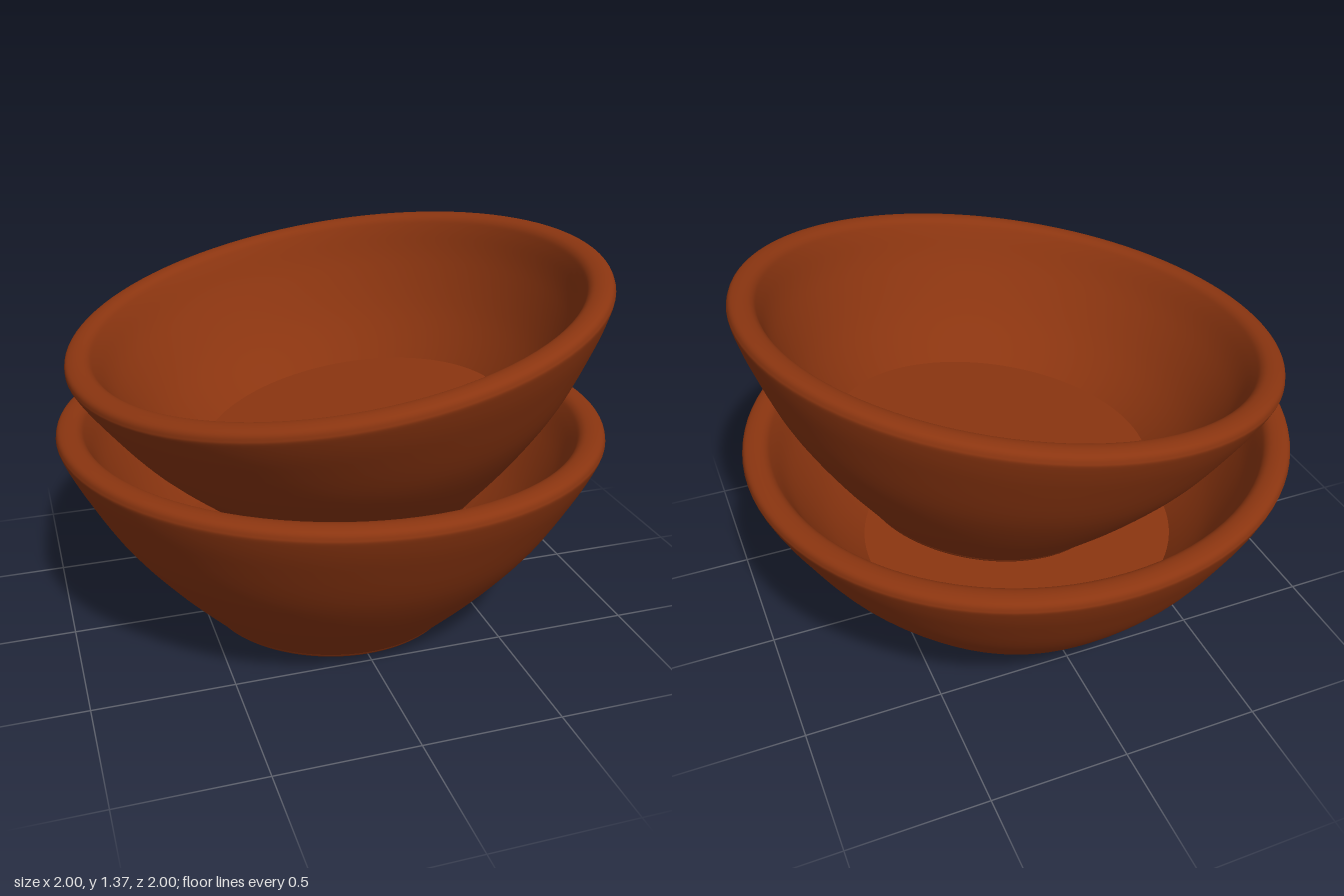
import * as THREE from 'three';

const clay = new THREE.MeshStandardMaterial({ color: 0x8b3510 });

const spline = (pts, n) =>
  new THREE.SplineCurve(pts.map(([r, y]) => new THREE.Vector2(r, y))).getPoints(n);

function turned(name, points) {
  const mesh = new THREE.Mesh(new THREE.LatheGeometry(points, 96), clay);
  mesh.name = name;
  return mesh;
}

// One thick-walled bowl, standing on its own y = 0
function makeBowl(name) {
  const bowl = new THREE.Group();
  bowl.name = name;

  // Underside with a small softened edge
  const underside = spline([[0, 0], [0.455, 0]], 1)
    .concat(spline([[0.455, 0], [0.472, 0.003], [0.48, 0.015]], 4).slice(1));

  // Curved outer wall, rounded rim and inner wall in one smooth sweep
  const wall = spline([
    [0.48, 0.015], [0.66, 0.205], [0.82, 0.405], [0.94, 0.61], [0.993, 0.72],
    [0.998, 0.75], [0.985, 0.77], [0.95, 0.777], [0.915, 0.766], [0.89, 0.725],
    [0.835, 0.6], [0.73, 0.42], [0.6, 0.255],
  ], 72);

  // Flat inner floor
  const floor = spline([[0.6, 0.255], [0, 0.255]], 1);

  bowl.add(turned('underside', underside), turned('wall', wall), turned('floor', floor));
  return bowl;
}

export function createModel() {
  const model = new THREE.Group();
  model.name = 'stackedBowls';

  // Lower bowl, very slightly tilted
  const lower = makeBowl('lowerBowl');
  lower.position.set(-0.008, 0.008, 0.01);
  lower.rotation.set(-0.013, 0, -0.011);

  // Upper bowl, a little smaller and resting askew inside the lower one
  const upper = makeBowl('upperBowl');
  upper.scale.setScalar(0.972);
  upper.position.set(0.132, 0.466, 0.005);
  upper.rotation.set(0.03, 0, 0.171);

  model.add(lower, upper);
  return model;
}
